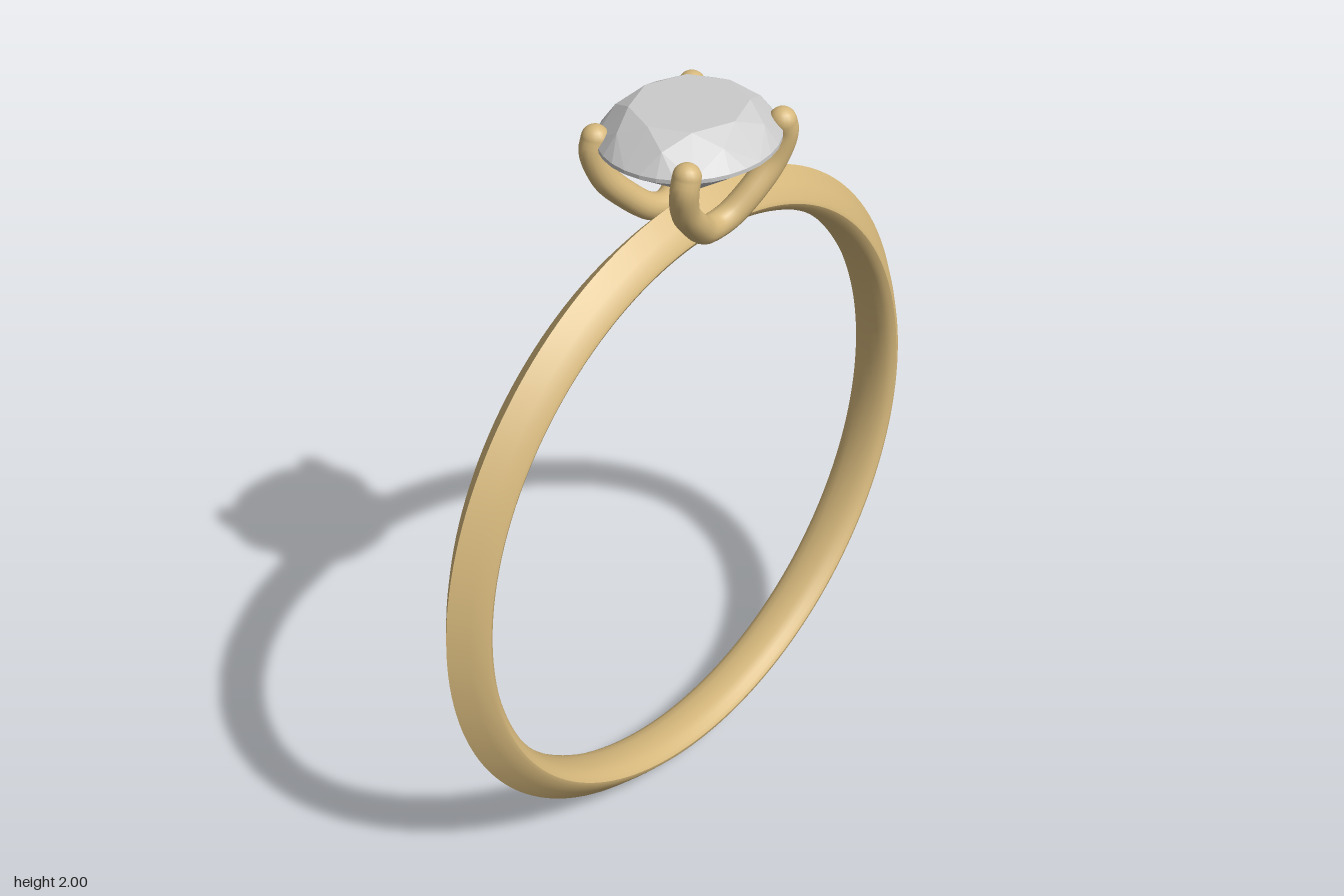
import * as THREE from 'three';
import { toCreasedNormals } from 'three/addons/utils/BufferGeometryUtils.js';
import { ConvexGeometry } from 'three/addons/geometries/ConvexGeometry.js';

const gold = new THREE.MeshStandardMaterial({ color: 0xd6b87c });
const stone = new THREE.MeshStandardMaterial({ color: 0xcccccc, flatShading: true });

function addMesh(parent, name, geometry, material) {
  const mesh = new THREE.Mesh(geometry, material);
  mesh.name = name;
  parent.add(mesh);
  return mesh;
}

// Knife-edge band with a rounded inner face: [radius, half width] from inside to ridge
function bandGeometry() {
  const half = [[0.77, 0], [0.772, 0.025], [0.778, 0.047], [0.788, 0.061], [0.8, 0.068], [0.81, 0.066], [0.842, 0.038], [0.88, 0]];
  const lower = half.map(([r, w]) => new THREE.Vector2(r, -w));
  const upper = half.slice(0, -1).reverse().map(([r, w]) => new THREE.Vector2(r, w));
  const geometry = new THREE.LatheGeometry([...lower, ...upper], 160);
  geometry.rotateZ(Math.PI / 2);
  return toCreasedNormals(geometry, 0.7);
}

// Brilliant-cut stone as the hull of its facet corner rings
function gemGeometry() {
  const points = [new THREE.Vector3(0, 1.77, 0)];
  const ring = (count, radius, y, offset = 0) => {
    for (let i = 0; i < count; i++) {
      const a = ((i + offset) / count) * Math.PI * 2;
      points.push(new THREE.Vector3(Math.cos(a) * radius, y, Math.sin(a) * radius * 1.085));
    }
  };
  ring(8, 0.135, 2);            // table
  ring(8, 0.176, 1.971, 0.5);   // crown
  ring(32, 0.21, 1.923);        // girdle
  ring(32, 0.21, 1.913);
  ring(8, 0.05, 1.8, 0.5);      // pavilion
  return new ConvexGeometry(points);
}

// One U-shaped wire makes the front and back prong of a side
function addProngPair(parent, side) {
  const pair = new THREE.Group();
  pair.name = side > 0 ? 'leftProngs' : 'rightProngs';
  const radius = 0.034;
  const half = [[0.138, 1.932, 0.172], [0.138, 1.9, 0.18], [0.123, 1.83, 0.16], [0.105, 1.765, 0.105], [0.085, 1.715, 0.045]];
  const at = (zSign) => ([x, y, z]) => new THREE.Vector3(side * x, y, z * zSign);
  const path = [...half.map(at(1)), new THREE.Vector3(side * 0.078, 1.704, 0), ...half.map(at(-1)).reverse()];
  const curve = new THREE.CatmullRomCurve3(path);
  addMesh(pair, 'prongWire', new THREE.TubeGeometry(curve, 64, radius, 16), gold);
  // Rounded claw tips
  for (const end of [path[0], path[path.length - 1]]) {
    addMesh(pair, 'prongTip', new THREE.SphereGeometry(radius, 16, 12), gold).position.copy(end);
  }
  parent.add(pair);
}

export function createModel() {
  const model = new THREE.Group();
  model.name = 'solitaireRing';
  addMesh(model, 'band', bandGeometry(), gold).position.y = 0.88;
  addMesh(model, 'gemstone', gemGeometry(), stone);
  for (const side of [1, -1]) addProngPair(model, side);
  return model;
}
